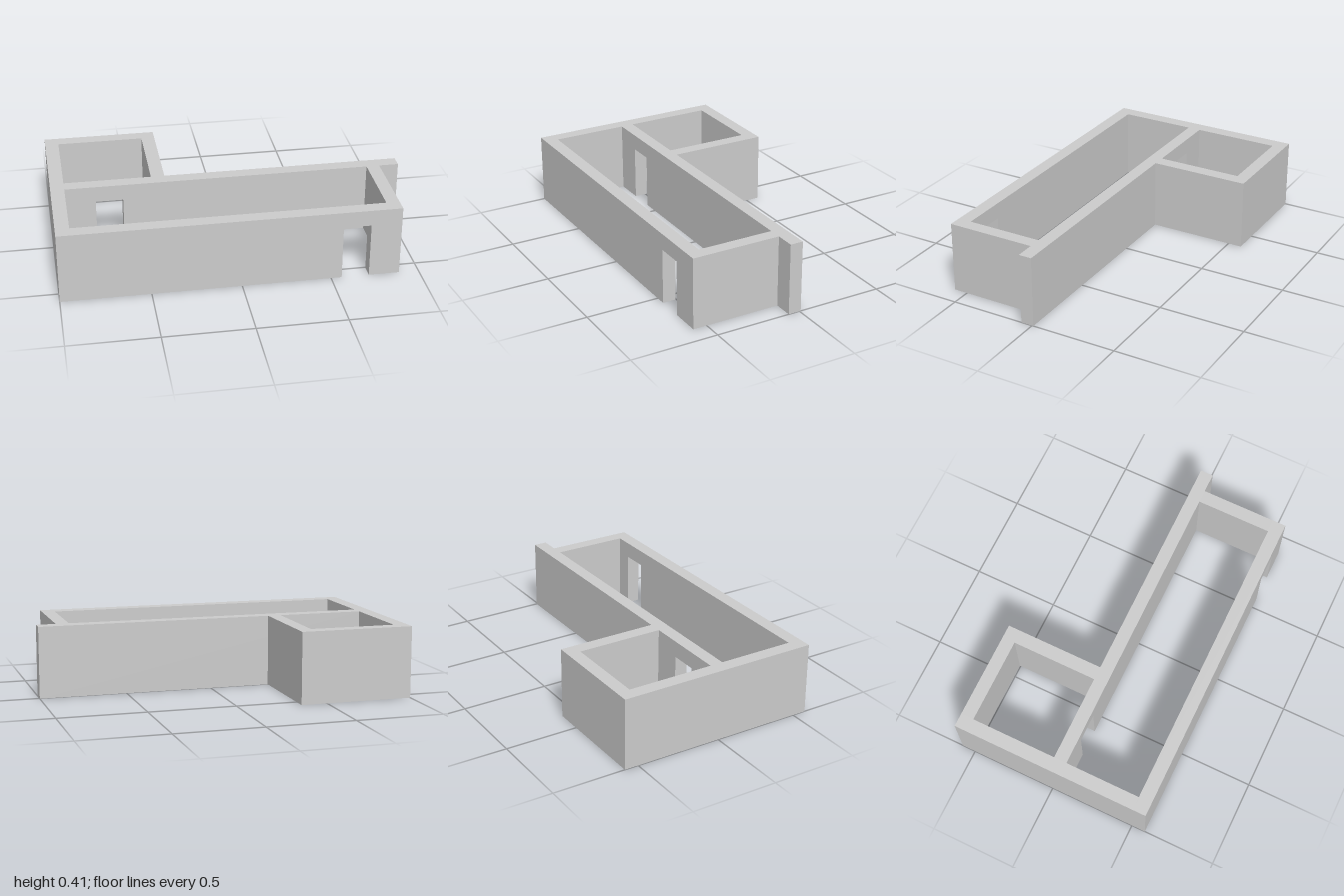
import * as THREE from 'three';

const HEIGHT = 0.408;
const DOOR_HEIGHT = 0.316;
const material = new THREE.MeshStandardMaterial({ color: 0xcccccc, flatShading: true });

// Wall running along x from x0 to x1, between z0 and z1, with an optional doorway [left, right]
function wallAlongX(name, x0, x1, z0, z1, door) {
  const outline = [[x0, 0]];
  if (door) outline.push([door[0], 0], [door[0], DOOR_HEIGHT], [door[1], DOOR_HEIGHT], [door[1], 0]);
  outline.push([x1, 0], [x1, HEIGHT], [x0, HEIGHT]);
  const shape = new THREE.Shape(outline.map(([x, y]) => new THREE.Vector2(x, y)));
  const geometry = new THREE.ExtrudeGeometry(shape, { depth: z1 - z0, bevelEnabled: false });
  const mesh = new THREE.Mesh(geometry, material);
  mesh.position.z = z0;
  mesh.name = name;
  return mesh;
}

// Solid wall running along z
function wallAlongZ(name, x0, x1, z0, z1) {
  const mesh = new THREE.Mesh(new THREE.BoxGeometry(x1 - x0, HEIGHT, z1 - z0), material);
  mesh.position.set((x0 + x1) / 2, HEIGHT / 2, (z0 + z1) / 2);
  mesh.name = name;
  return mesh;
}

export function createModel() {
  const model = new THREE.Group();
  model.name = 'roomWalls';
  model.add(
    // Long front room
    wallAlongX('frontWall', -1, 0.888, 0.503, 0.58, [0.56, 0.715]),
    wallAlongX('middleWall', -0.922, 1, -0.008, 0.067, [-0.75, -0.595]),
    wallAlongZ('frontRoomEndWall', 0.813, 0.888, 0.067, 0.503),
    // Outer wall shared by both rooms
    wallAlongZ('sharedSideWall', -1, -0.922, -0.58, 0.503),
    // Small back room
    wallAlongX('backWall', -0.922, -0.35, -0.58, -0.505),
    wallAlongZ('backRoomInnerWall', -0.427, -0.35, -0.505, -0.008),
  );
  return model;
}
